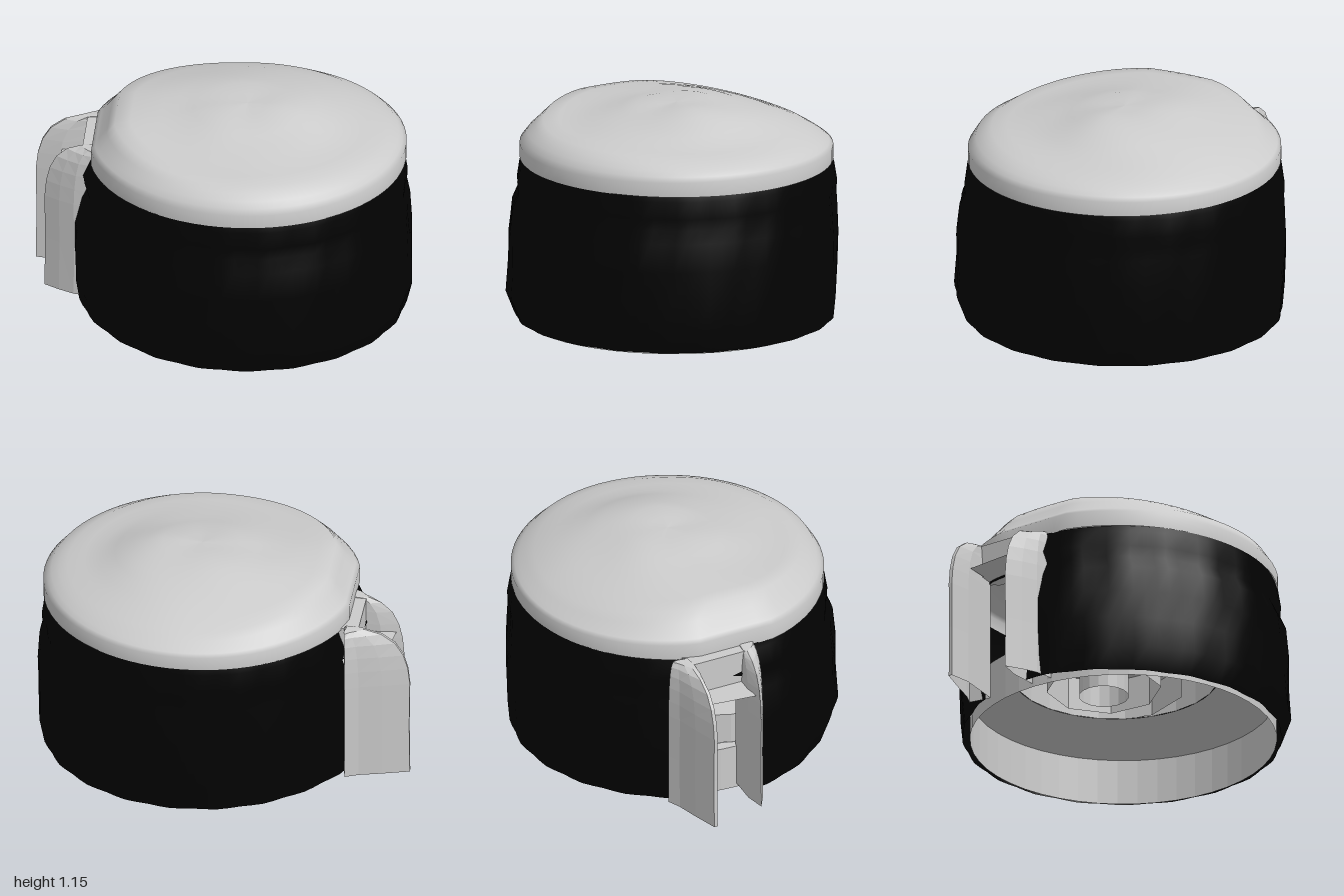
import * as THREE from 'three';

const CX = 0.13;
const grey = new THREE.MeshStandardMaterial({ color: 0xcccccc, side: THREE.DoubleSide });
const greyFlat = new THREE.MeshStandardMaterial({ color: 0xcccccc, side: THREE.DoubleSide, flatShading: true });
const black = new THREE.MeshStandardMaterial({ color: 0x020202, side: THREE.DoubleSide });

function add(parent, name, geometry, material, x = 0, y = 0, z = 0) {
  const mesh = new THREE.Mesh(geometry, material);
  mesh.name = name;
  mesh.position.set(x, y, z);
  parent.add(mesh);
  return mesh;
}

// Skins closed rings of [x, y, z] points, stacked upward; skip(p, q) leaves holes
function loft(rings, skip = () => false) {
  const n = rings[0].length, index = [];
  for (let i = 0; i < rings.length - 1; i++) {
    for (let j = 0; j < n; j++) {
      const k = (j + 1) % n;
      if (skip(rings[i][j], rings[i][k])) continue;
      const a = i * n + j, b = i * n + k, c = a + n, d = b + n;
      index.push(a, c, b, b, c, d);
    }
  }
  const g = new THREE.BufferGeometry();
  g.setAttribute('position', new THREE.Float32BufferAttribute(rings.flat(2), 3));
  g.setIndex(index);
  g.computeVertexNormals();
  return g;
}

function lerpTable(xs, ys, x) {
  let i = 0;
  while (i < xs.length - 2 && x > xs[i + 1]) i++;
  return THREE.MathUtils.lerp(ys[i], ys[i + 1], (x - xs[i]) / (xs[i + 1] - xs[i]));
}

// Slightly sagging fabric wall, bulging beside a doorway on the -x side
function wallGeometry() {
  // height, radius, centre z, bulge at the doorway
  const rows = [[0.012, 0.83, -0.02, 0.045], [0.13, 0.858, 0, 0.03], [0.3, 0.858, -0.01, 0.04],
    [0.45, 0.858, -0.01, 0.04], [0.6, 0.845, -0.015, 0.02], [0.67, 0.828, -0.03, 0.01],
    [0.73, 0.832, -0.03, 0.03], [0.82, 0.82, -0.03, 0], [0.855, 0.81, -0.03, 0]];
  const N = 84;
  const rings = rows.map(([y, r, cz, bulge]) => Array.from({ length: N }, (_, j) => {
    const a = j / N * Math.PI * 2;
    const rr = r + 0.006 * Math.cos(21 * a) * Math.sin(y * 6 + 1)
      + bulge * Math.exp(-(((a - Math.PI) / 0.5) ** 2));
    return [CX + rr * Math.cos(a), y, cz + rr * Math.sin(a)];
  }));
  return loft(rings, (p, q) => p[0] < -0.5 && p[1] < 0.66
    && Math.min(p[2], q[2]) > -0.37 && Math.max(p[2], q[2]) < 0.04);
}

// Soft low dome, blended from four radial profiles: right, front, left, back
function roofGeometry() {
  const ts = [0, 0.25, 0.45, 0.65, 0.85, 0.95, 1];
  const profiles = [
    [1.145, 1.15, 1.11, 1.045, 1.01, 0.975, 0.93],
    [1.145, 1.125, 1.08, 1.05, 1.035, 0.985, 0.92],
    [1.145, 1.145, 1.12, 1.1, 1.085, 0.98, 0.94],
    [1.145, 1.15, 1.12, 1.07, 1.0, 0.95, 0.92]];
  const N = 72;
  const ring = (t, rim) => Array.from({ length: N }, (_, j) => {
    const q = j / N * 4, s = Math.floor(q), a = q * Math.PI / 2;
    const w = THREE.MathUtils.smoothstep(q - s, 0, 1);
    const y = THREE.MathUtils.lerp(lerpTable(ts, profiles[s], t), lerpTable(ts, profiles[(s + 1) % 4], t), w);
    // the edge is flattened above the doorway
    const r = Math.min(0.83, 0.8 / Math.max(0.01, -Math.cos(a)));
    const ripple = 0.007 * Math.sin(3 * a + 6 * t) * Math.sin(Math.PI * t) ** 2;
    return [CX + r * t * Math.cos(a), rim ?? y + ripple, -0.03 + 0.98 * r * t * Math.sin(a)];
  });
  const rings = [ring(1, 0.85)];
  for (const t of [1, 0.975, 0.95, 0.9, 0.85, 0.75, 0.65, 0.55, 0.45, 0.35, 0.25, 0.12, 0.001]) rings.push(ring(t));
  return loft(rings);
}

// Tapered door panel: plan outline shrinks toward its root as the top curves over
function flapGeometry(plan, rootX, rootZ) {
  const rows = [[0.02, 1], [0.3, 0.99], [0.55, 1], [0.64, 0.97], [0.72, 0.9], [0.79, 0.77],
    [0.84, 0.56], [0.865, 0.3], [0.87, 0.02]];
  return loft(rows.map(([y, f]) => plan.map(([x, z]) =>
    [rootX + (x - rootX) * f, y, rootZ + (z - rootZ) * (0.5 + 0.5 * f)])));
}

function interior() {
  const g = new THREE.Group();
  g.name = 'interior';

  add(g, 'innerWall', new THREE.CylinderGeometry(0.8, 0.8, 0.25, 48, 1, true), greyFlat, CX, 0.125, -0.015);

  // bench, wide on one side and running out on the other
  const bx = -0.1, bz = 0.1, br = 0.54;
  const seat = new THREE.Shape().absarc(CX, -0.015, 0.8, 0, Math.PI * 2);
  seat.holes.push(new THREE.Path().absarc(bx, bz, br, 0, Math.PI * 2, true));
  add(g, 'benchSeat', new THREE.ShapeGeometry(seat, 24), greyFlat, 0, 0.25).rotation.x = Math.PI / 2;
  add(g, 'benchFace', new THREE.CylinderGeometry(br, br, 0.17, 24, 1, true), greyFlat, bx, 0.335, bz);
  add(g, 'deck', new THREE.CircleGeometry(br, 24), greyFlat, bx, 0.42, bz).rotation.x = Math.PI / 2;

  // hearth: octagonal surround with one open side, central pipe and an angled screen
  const hx = -0.01, hz = -0.04;
  add(g, 'hearthSurround', new THREE.CylinderGeometry(0.3, 0.3, 0.18, 7, 1, true, -0.29, Math.PI * 1.75),
    greyFlat, hx, 0.33, hz);
  add(g, 'centrePipe', new THREE.CylinderGeometry(0.13, 0.13, 0.22, 16, 1, true), greyFlat, hx, 0.31, hz);
  add(g, 'hearthScreen', new THREE.CylinderGeometry(0.42, 0.42, 0.17, 2, 1, true, 0.9, 1.3), greyFlat, hx, 0.335, hz);
  return g;
}

export function createModel() {
  const model = new THREE.Group();
  model.name = 'roundTent';
  add(model, 'fabricWall', wallGeometry(), black);
  add(model, 'roof', roofGeometry(), grey);

  // door panels
  add(model, 'backDoorPanel', flapGeometry([[-0.65, -0.31], [-0.88, -0.29], [-1, -0.31], [-1, -0.33],
    [-0.86, -0.37], [-0.74, -0.4], [-0.67, -0.43]], -0.66, -0.35), greyFlat);
  add(model, 'frontDoorPanel', flapGeometry([[-0.65, -0.03], [-0.82, -0.04], [-0.93, -0.02],
    [-0.85, 0.03], [-0.77, 0.07], [-0.67, 0.09]], -0.66, 0.02), greyFlat);

  // canopy sheet between the panels and the boxed lintel above it
  const sheet = new THREE.Shape([[-0.6, 0.3], [-0.86, 0.29], [-0.89, 0.03], [-0.6, 0.03]].map(p => new THREE.Vector2(...p)));
  add(model, 'doorCanopy', new THREE.ShapeGeometry(sheet), greyFlat, 0, 0.68, 0).rotation.x = -Math.PI / 2;
  add(model, 'doorLintel', new THREE.BoxGeometry(0.11, 0.18, 0.34), greyFlat, -0.675, 0.772, -0.165);

  model.add(interior());
  return model;
}
